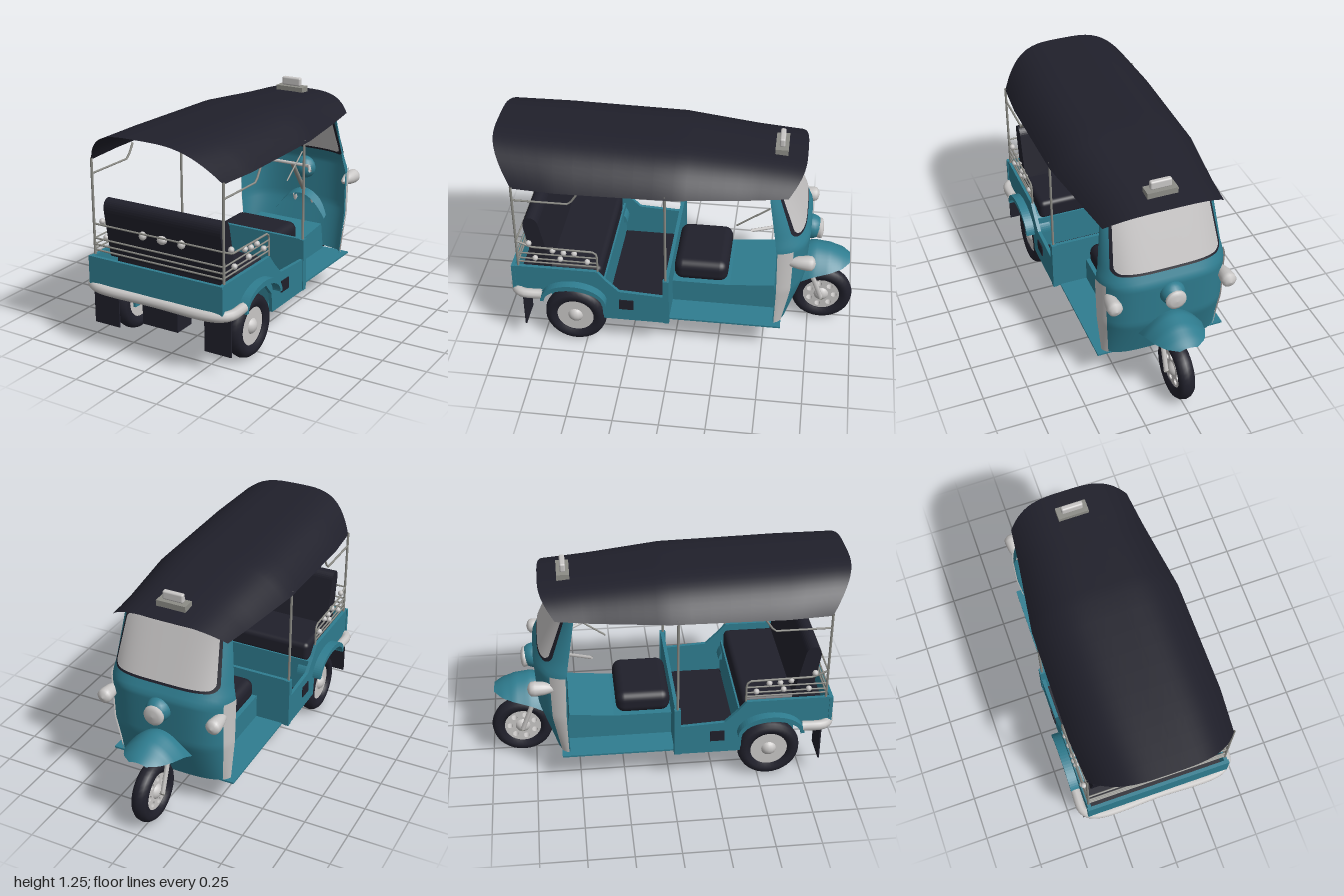
import * as THREE from 'three';
import { RoundedBoxGeometry } from 'three/addons/geometries/RoundedBoxGeometry.js';

const paint = (name, color) => Object.assign(new THREE.MeshStandardMaterial({ color, side: THREE.DoubleSide }), { name });

export function createModel() {
  const teal = paint('teal paint', 0x2f7d90), dark = paint('dark vinyl and rubber', 0x20202b);
  const light = paint('pale metal', 0xc9c7c6), glass = paint('windscreen grey', 0xc2c0c0), rail = paint('rail metal', 0x8d8d87);
  const model = new THREE.Group();
  const V = (x, y, z) => new THREE.Vector3(x, y, z);

  const add = (name, geo, mat, x = 0, y = 0, z = 0, parent = model) => {
    const m = new THREE.Mesh(geo, mat);
    m.name = name;
    m.position.set(x, y, z);
    parent.add(m);
    return m;
  };
  // box given by its limits
  const box = (name, mat, x0, x1, y0, y1, z0, z1, r = 0) => {
    const s = [x1 - x0, y1 - y0, z1 - z0];
    const geo = r ? new RoundedBoxGeometry(...s, 4, r) : new THREE.BoxGeometry(...s);
    return add(name, geo, mat, (x0 + x1) / 2, (y0 + y1) / 2, (z0 + z1) / 2);
  };
  // straight-cornered rod through points
  const rod = (name, mat, pts, r = 0.006) => {
    const path = new THREE.CurvePath();
    for (let i = 1; i < pts.length; i++) path.add(new THREE.LineCurve3(V(...pts[i - 1]), V(...pts[i])));
    return add(name, new THREE.TubeGeometry(path, Math.max(1, (pts.length - 1) * 6), r, 6), mat);
  };
  // side outline in (z, y), extruded across x and centred at x
  const slab = (name, mat, shape, width, x = 0) => {
    const geo = new THREE.ExtrudeGeometry(shape, { depth: width, bevelEnabled: false, curveSegments: 16 });
    geo.rotateY(-Math.PI / 2);
    return add(name, geo, mat, x + width / 2, 0, 0);
  };
  const outline = pts => new THREE.Shape(pts.map(p => new THREE.Vector2(...p)));
  // smooth sheet from f(u, v) with u, v in 0..1
  const sheet = (name, mat, f, nu, nv) => {
    const geo = new THREE.PlaneGeometry(1, 1, nu, nv), p = geo.attributes.position;
    for (let i = 0; i < p.count; i++) p.setXYZ(i, ...f(p.getX(i) + 0.5, p.getY(i) + 0.5));
    geo.computeVertexNormals();
    return add(name, geo, mat);
  };
  // linear lookup in rows sorted by their first column
  const lookup = (rows, k) => {
    let i = 1;
    while (i < rows.length - 1 && k > rows[i][0]) i++;
    const a = rows[i - 1], b = rows[i], t = (k - a[0]) / (b[0] - a[0]);
    return a.map((v, j) => v + (b[j] - v) * t);
  };
  const spread = u => Math.sin((u - 0.5) * Math.PI);

  // canopy: station, edge z, crown z, half width, edge y, crown y
  const roofRows = [[0, 0.86, 1, 0.4, 1.05, 1.245], [0.2, 0.62, 0.66, 0.418, 1.05, 1.238], [0.5, 0, 0, 0.413, 1.055, 1.222],
    [0.8, -0.4, -0.4, 0.358, 1.055, 1.183], [1, -0.6, -0.685, 0.335, 1.065, 1.158]];
  sheet('canopy', dark, (u, v) => {
    const [, ze, zt, w, ye, yt] = lookup(roofRows, v), t = spread(u), k = 1 - Math.abs(t) ** 3.6;
    return [w * t, ye + (yt - ye) * k, ze + (zt - ze) * k];
  }, 32, 20);
  box('roofSignBase', rail, -0.085, 0.085, 1.165, 1.2, -0.58, -0.51);
  box('roofSign', light, -0.06, 0.06, 1.2, 1.25, -0.56, -0.53, 0.01);

  // cowl surface: y, half width, centre z, side z
  const cowlRows = [[0.2, 0.33, -0.635, -0.555], [0.45, 0.355, -0.72, -0.56], [0.72, 0.36, -0.735, -0.555],
    [0.79, 0.345, -0.7, -0.545], [1.07, 0.312, -0.57, -0.5], [1.15, 0.3, -0.53, -0.49]];
  const cowl = (t, y, o = 0) => {
    const [, w, zf, zs] = lookup(cowlRows, y);
    return [t * (w + o), y, zs + (zf - zs) * Math.max(0, 1 - t ** 4) ** 0.6 - o];
  };
  sheet('cowl', teal, (u, v) => {
    const t = spread(u);
    return cowl(t, 0.2 + v * (0.95 - 0.08 * t ** 4));
  }, 40, 40);
  // rounded window patch laid on the cowl, on both faces
  const pane = (name, mat, half, y0, y1, off) => sheet(name, mat, (u, v) => {
    const s = spread(v), d = Math.max(0, (Math.abs(s) - 0.75) / 0.25);
    return cowl((u * 2 - 1) * (half - 0.13 * (1 - Math.sqrt(1 - d * d))), (y0 + y1) / 2 + s * (y1 - y0) / 2, off);
  }, 24, 24);
  for (const s of [1, -1]) {
    pane('windscreenSeal', dark, 0.89, 0.785, 1.095, s * 0.005);
    pane('windscreen', glass, 0.84, 0.8, 1.08, s * 0.009);
  }

  // front mudguard: z, half width, crest y, edge y
  const guardRows = [[-0.965, 0.05, 0.455, 0.445], [-0.92, 0.11, 0.48, 0.44], [-0.85, 0.145, 0.51, 0.43],
    [-0.76, 0.165, 0.525, 0.41], [-0.66, 0.172, 0.5, 0.36]];
  sheet('frontMudguard', teal, (u, v) => {
    const t = spread(u), z = -0.965 + v * 0.305, [, w, yc, ye] = lookup(guardRows, z);
    return [w * t, ye + (yc - ye) * (1 - t * t), z];
  }, 20, 16);

  // lamps point towards -z
  const lamp = (name, x, y, z, r, depth) => {
    const pts = [[0, 0], [0.6, 0.04], [0.95, 0.12], [1, 0.25], [0.85, 0.55], [0.45, 0.9], [0, 1]];
    const geo = new THREE.LatheGeometry(pts.map(([a, b]) => new THREE.Vector2(a * r, b * depth)), 20);
    add(name, geo.rotateX(Math.PI / 2), light, x, y, z);
  };
  lamp('headlamp', 0, 0.64, -0.805, 0.058, 0.09);
  add('headlampPod', new THREE.SphereGeometry(0.07, 16, 12), teal, 0, 0.65, -0.73);

  // driver area
  box('frontFloor', teal, -0.37, 0.37, 0.195, 0.205, -0.6, 0.03);
  slab('driverBase', teal, outline([[0.03, 0.2], [0.03, 0.345], [-0.3, 0.345], [-0.55, 0.37], [-0.58, 0.2]]), 0.42);
  box('driverSeat', dark, -0.2, 0.2, 0.34, 0.47, -0.285, 0.02, 0.05);
  box('bulkhead', teal, -0.4, 0.4, 0.2, 0.5, 0.025, 0.045);
  rod('steeringColumn', rail, [[0, 0.5, -0.72], [0, 0.72, -0.56]], 0.014);
  rod('handlebar', light, [[-0.2, 0.74, -0.41], [-0.12, 0.72, -0.55], [0.12, 0.72, -0.55], [0.2, 0.74, -0.41]], 0.01);
  rod('gearLever', rail, [[0.1, 0.69, -0.32], [0.1, 0.82, -0.5]], 0.005);

  // passenger area
  box('rearFloor', dark, -0.39, 0.39, 0.195, 0.21, 0.04, 0.4);
  box('seatFront', teal, -0.39, 0.39, 0.2, 0.42, 0.39, 0.4);
  box('rearDeck', dark, -0.4, 0.4, 0.385, 0.4, 0.4, 0.89);
  box('rearSeatCushion', dark, -0.36, 0.36, 0.4, 0.52, 0.4, 0.74, 0.03);
  const back = outline([[0.68, 0.5], [0.74, 0.78]]);
  back.bezierCurveTo(0.75, 0.85, 0.84, 0.85, 0.825, 0.76);
  back.lineTo(0.78, 0.5);
  slab('rearSeatBack', dark, back, 0.72);
  box('tailPanel', teal, -0.415, 0.415, 0.375, 0.53, 0.88, 0.9);
  box('rearTank', dark, -0.11, 0.11, 0.19, 0.33, 0.72, 0.85);
  box('rearCrossbar', dark, -0.27, 0.27, 0.185, 0.2, 0.4, 0.43);
  add('rearBumper', new THREE.TubeGeometry(new THREE.CatmullRomCurve3([V(-0.435, 0.362, 0.73), V(-0.43, 0.362, 0.85),
    V(-0.37, 0.357, 0.892), V(0, 0.355, 0.895), V(0.37, 0.357, 0.892), V(0.43, 0.362, 0.85), V(0.435, 0.362, 0.73)],
  false, 'centripetal'), 48, 0.028, 10), light);
  for (const y of [0.555, 0.585, 0.62, 0.7]) rod('backRail', rail, [[-0.4, y, 0.86], [0.4, y, 0.86]], 0.005);
  for (const x of [-0.12, 0, 0.12]) {
    add('seatOrnament', new THREE.SphereGeometry(0.024, 8, 6), light, x, 0.67, 0.815).scale.x = x ? 0.9 : 1.3;
  }

  const sideShape = outline([[0.9, 0.53], [0.42, 0.53], [0.37, 0.47], [0.3, 0.4], [0.03, 0.385], [0.03, 0.2], [0.39, 0.2],
    [0.4, 0.31], [0.46, 0.38], [0.56, 0.41], [0.66, 0.39], [0.73, 0.36], [0.9, 0.375]]);
  const arch = new THREE.Shape();
  arch.absellipse(0.555, 0.33, 0.185, 0.12, 0, Math.PI, false);
  arch.absellipse(0.555, 0.33, 0.165, 0.09, Math.PI, 0, true);

  for (const s of [1, -1]) {
    // cowl edge trim and side lamps
    sheet('cowlTrim', light, (u, v) => cowl(s * Math.sin((0.74 + 0.26 * u) * Math.PI / 2), 0.2 + 0.52 * v, 0.006), 10, 24);
    lamp('sideLamp', s * 0.322, 0.64, -0.77, 0.042, 0.17);
    // bodywork
    slab('sidePanel', teal, sideShape, 0.02, s * 0.4);
    slab('rearFender', teal, arch, 0.15, s * 0.385);
    box('sidePost', teal, s * 0.4 - 0.014, s * 0.4 + 0.014, 0.2, 0.5, 0.02, 0.055);
    box('sideVent', dark, s * 0.412 - 0.004, s * 0.412 + 0.004, 0.28, 0.345, 0.22, 0.3);
    box('mudFlap', dark, s * 0.35 - 0.08, s * 0.35 + 0.08, 0.125, 0.34, 0.836, 0.844);
    box('wheelWell', teal, s * 0.26 - 0.008, s * 0.26 + 0.008, 0.2, 0.39, 0.4, 0.72);
    // canopy posts and passenger rails
    const x = s * 0.4;
    rod('rearCanopyPost', rail, [[x, 0.53, 0.86], [x, 1.06, 0.86]], 0.007);
    rod('middleCanopyPost', rail, [[x, 0.38, 0.04], [x, 1.07, 0.04]], 0.007);
    rod('upperRail', rail, [[x, 0.975, 0.86], [x, 0.975, 0.55], [x, 1.05, 0.5]]);
    rod('sideRail', rail, [[x, 0.7, 0.86], [x, 0.665, 0.78], [x, 0.66, 0.43], [x, 0.64, 0.415], [x, 0.53, 0.415]]);
    for (const y of [0.56, 0.585, 0.62]) rod('lowerSideRail', rail, [[x, y, 0.86], [x, y, 0.415]], 0.005);
    for (const [y, z] of [[0.65, 0.66], [0.64, 0.6], [0.64, 0.54], [0.595, 0.62], [0.59, 0.47], [0.59, 0.76], [0.69, 0.79]]) {
      add('railOrnament', new THREE.SphereGeometry(0.017, 8, 6), light, x, y, z);
    }
    // front fork leg
    rod('forkLeg', light, [[s * 0.06, 0.47, -0.71], [s * 0.06, 0.18, -0.82]], 0.014);
  }

  // wheels
  const tyreProfile = [[0.105, -0.03], [0.13, -0.045], [0.155, -0.042], [0.17, -0.025], [0.176, 0], [0.17, 0.025],
    [0.155, 0.042], [0.13, 0.045], [0.105, 0.03], [0.105, -0.03]].map(p => new THREE.Vector2(...p));
  const wheel = (name, x, z, holes) => {
    const g = new THREE.Group();
    g.name = name;
    g.position.set(x, 0.18, z);
    model.add(g);
    add('tyre', new THREE.LatheGeometry(tyreProfile, 36).rotateZ(Math.PI / 2), dark, 0, 0, 0, g);
    const disc = new THREE.Shape().absarc(0, 0, 0.11, 0, Math.PI * 2);
    for (let i = 0; i < holes; i++) {
      const a = i / holes * Math.PI * 2;
      disc.holes.push(new THREE.Path().absarc(0.074 * Math.cos(a), 0.074 * Math.sin(a), 0.017, 0, Math.PI * 2, true));
    }
    const rim = new THREE.ExtrudeGeometry(disc, { depth: 0.05, bevelEnabled: false, curveSegments: 24 });
    add('rim', rim.rotateY(Math.PI / 2), light, -0.025, 0, 0, g);
    add('hub', new THREE.SphereGeometry(0.05, 16, 12), light, 0, 0, 0, g);
  };
  wheel('frontWheel', 0, -0.82, 7);
  wheel('leftRearWheel', 0.36, 0.56, 0);
  wheel('rightRearWheel', -0.36, 0.56, 0);
  rod('rearAxle', rail, [[-0.36, 0.18, 0.56], [0.36, 0.18, 0.56]], 0.014);
  rod('frontAxle', rail, [[-0.07, 0.18, -0.82], [0.07, 0.18, -0.82]], 0.012);
  return model;
}
